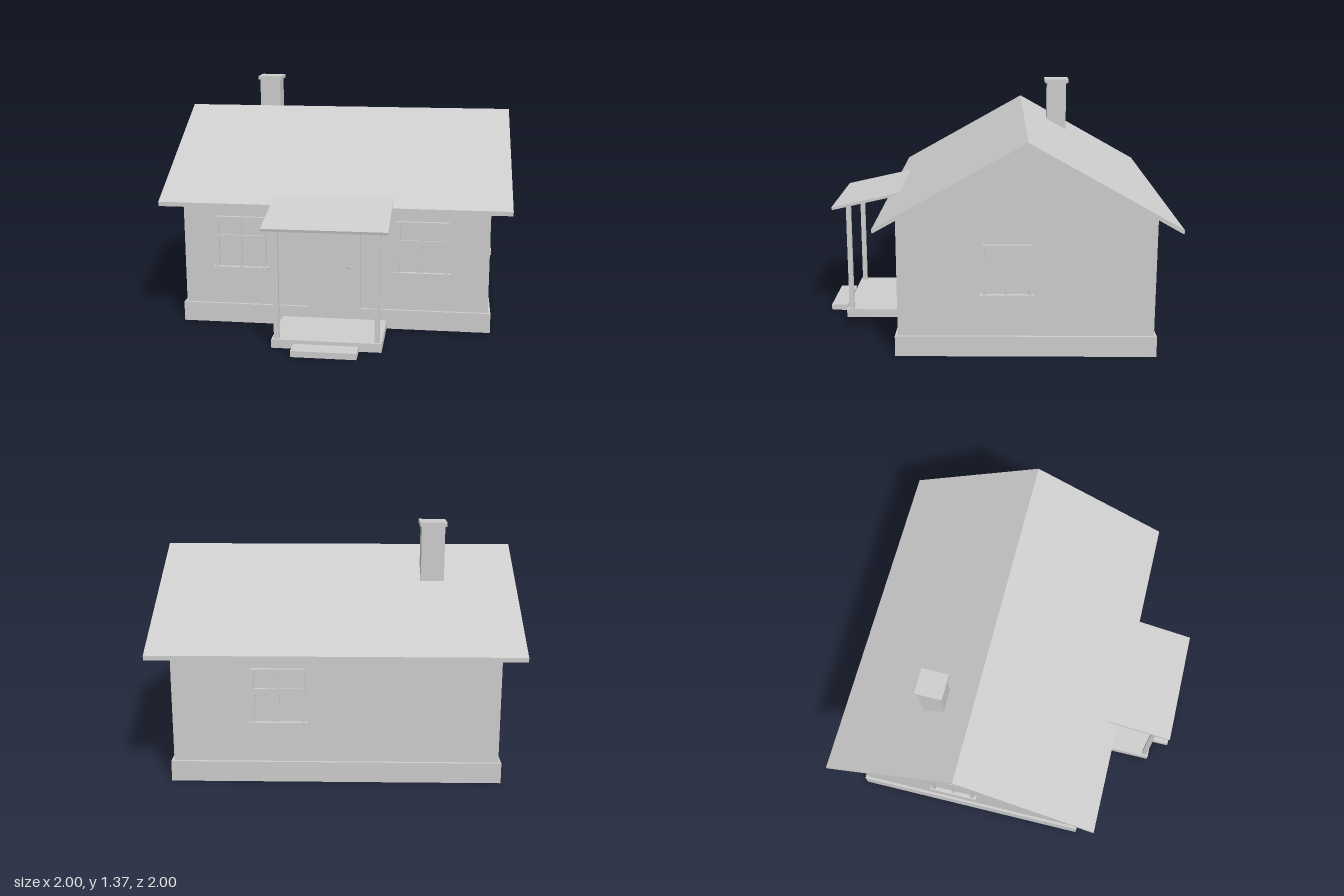
import * as THREE from 'three';

const RIDGE_Z = -0.19;
const SLOPE = 0.562;

export function createModel() {
  const house = new THREE.Group();
  house.name = 'cottage';
  const plaster = new THREE.MeshStandardMaterial({ color: 0xcccccc });
  plaster.name = 'light grey';

  const add = (parent, name, geometry) => {
    const mesh = new THREE.Mesh(geometry, plaster);
    mesh.name = name;
    parent.add(mesh);
    return mesh;
  };

  // Box given by its minimum and maximum on each axis
  const box = (parent, name, [x0, x1], [y0, y1], [z0, z1]) => {
    const geometry = new THREE.BoxGeometry(x1 - x0, y1 - y0, z1 - z0);
    geometry.translate((x0 + x1) / 2, (y0 + y1) / 2, (z0 + z1) / 2);
    return add(parent, name, geometry);
  };

  // Side profile of [z, y] points extruded along x
  const profile = (name, points, width) => {
    const shape = new THREE.Shape(points.map(([z, y]) => new THREE.Vector2(z, y)));
    const geometry = new THREE.ExtrudeGeometry(shape, { depth: width, bevelEnabled: false });
    geometry.rotateY(-Math.PI / 2);
    geometry.translate(width / 2, 0, 0);
    return add(house, name, geometry);
  };

  // Foundation and gabled walls
  const under = (z) => 1.174 - Math.abs(z - RIDGE_Z) * SLOPE;
  box(house, 'foundation', [-0.9, 0.9], [0, 0.115], [-0.9, 0.525]);
  profile('walls', [
    [-0.885, 0.1], [0.51, 0.1], [0.51, under(0.51)],
    [RIDGE_Z, under(RIDGE_Z)], [-0.885, under(-0.885)],
  ], 1.77);

  // Main roof
  profile('roof', [
    [0.62, 0.72], [0.62, 0.745], [RIDGE_Z, 1.2],
    [-1, 0.745], [-1, 0.72], [RIDGE_Z, 1.175],
  ], 2);

  // Chimney
  box(house, 'chimney', [-0.6, -0.47], [0.98, 1.347], [-0.48, -0.355]);
  box(house, 'chimneyCap', [-0.61, -0.46], [1.347, 1.37], [-0.495, -0.34]);

  // Porch
  box(house, 'porchFloor', [-0.305, 0.305], [0, 0.05], [0.5, 0.885]);
  box(house, 'porchStep', [-0.18, 0.18], [0, 0.035], [0.9, 1]);
  for (const side of [-1, 1]) {
    const x = side * 0.278;
    box(house, side < 0 ? 'rightPost' : 'leftPost', [x - 0.014, x + 0.014], [0.05, 0.702], [0.844, 0.872]);
  }
  profile('porchRoof', [[0.946, 0.681], [0.95, 0.696], [0.54, 0.788], [0.54, 0.772]], 0.68);

  // Door with knob
  box(house, 'door', [-0.155, 0.15], [0.08, 0.665], [0.5, 0.529]);
  add(house, 'doorKnob', new THREE.SphereGeometry(0.008, 12, 8)).position.set(0.088, 0.368, 0.531);

  // Window facing +z, its origin at the middle of the sill's lower edge
  const addWindow = (name, position, turn, width, height, crossbar) => {
    const window = new THREE.Group();
    window.name = name;
    const w = width / 2;
    const border = 0.02;
    const outline = new THREE.Shape([
      new THREE.Vector2(-w, 0.012), new THREE.Vector2(w, 0.012),
      new THREE.Vector2(w, height), new THREE.Vector2(-w, height),
    ]);
    outline.holes.push(new THREE.Path([
      new THREE.Vector2(-w + border, 0.022), new THREE.Vector2(-w + border, height - border),
      new THREE.Vector2(w - border, height - border), new THREE.Vector2(w - border, 0.022),
    ]));
    add(window, 'frame', new THREE.ExtrudeGeometry(outline, { depth: 0.02, bevelEnabled: false }));
    box(window, 'pane', [-w + 0.01, w - 0.01], [0.015, height - 0.01], [-0.004, 0.004]);
    box(window, 'mullion', [-0.007, 0.007], [0.02, height - 0.015], [0, 0.015]);
    if (crossbar) box(window, 'crossbar', [-w + 0.01, w - 0.01], [0.202, 0.214], [0, 0.0145]);
    box(window, 'sill', [-w - 0.014, w + 0.014], [0, 0.026], [-0.004, 0.027]);
    window.position.set(...position);
    window.rotation.y = turn;
    house.add(window);
  };
  addWindow('frontRightWindow', [-0.548, 0.32, 0.51], 0, 0.295, 0.325, true);
  addWindow('frontLeftWindow', [0.505, 0.32, 0.51], 0, 0.295, 0.325, true);
  addWindow('backWindow', [0.31, 0.32, -0.885], Math.PI, 0.295, 0.325, true);
  addWindow('leftWindow', [0.885, 0.33, -0.085], Math.PI / 2, 0.268, 0.302, false);
  addWindow('rightWindow', [-0.885, 0.33, -0.28], -Math.PI / 2, 0.268, 0.302, false);

  return house;
}
